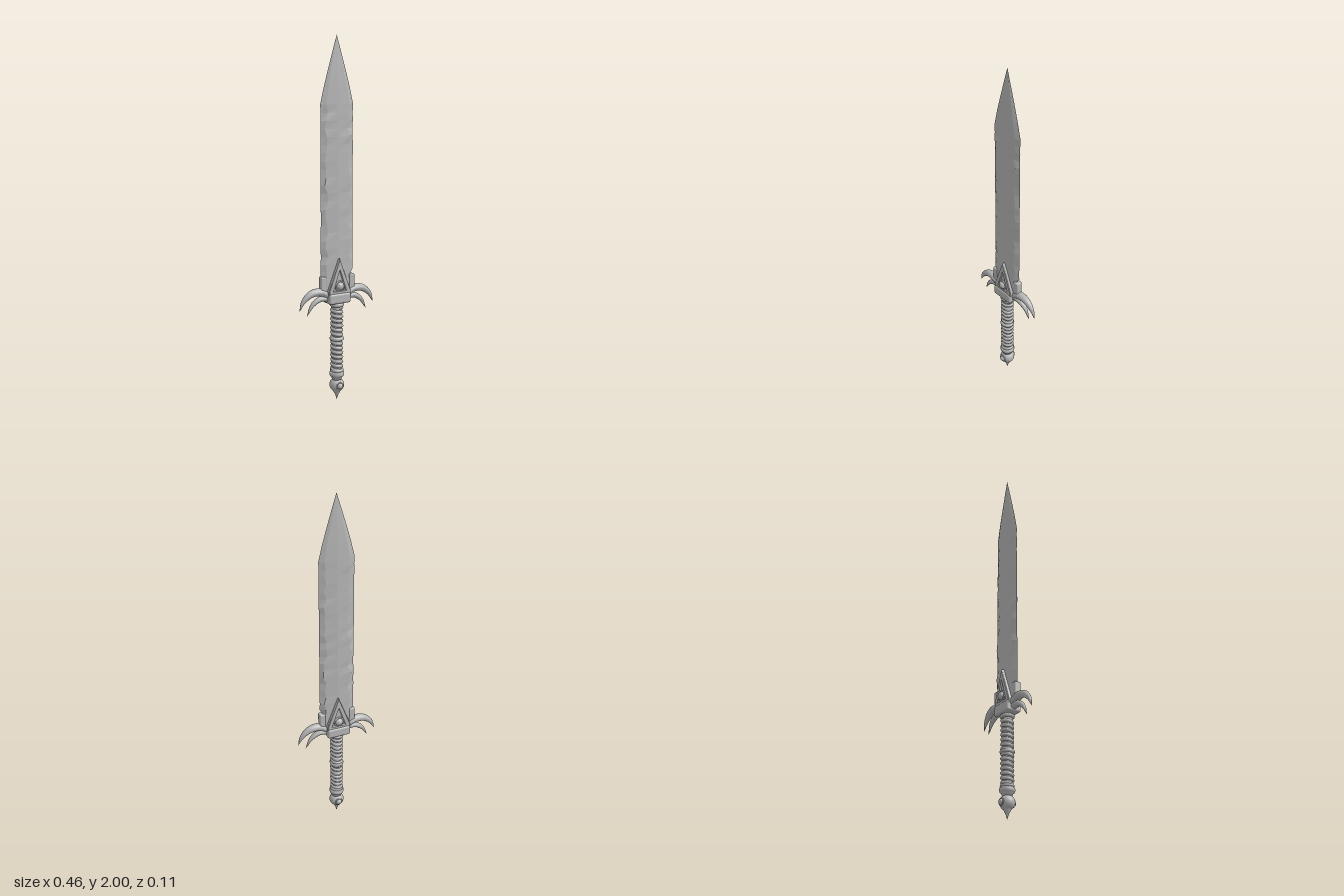
import * as THREE from 'three';
import { RoundedBoxGeometry } from 'three/addons/geometries/RoundedBoxGeometry.js';

export function createModel() {
  const model = new THREE.Group();
  model.name = 'sword';
  const steel = new THREE.MeshStandardMaterial({ color: 0xb6b6b6 });
  steel.name = 'grey steel';

  const add = (name, geometry, x = 0, y = 0, z = 0) => {
    const mesh = new THREE.Mesh(geometry, steel);
    mesh.name = name;
    mesh.position.set(x, y, z);
    model.add(mesh);
    return mesh;
  };
  let seed = 7;
  const jitter = (size) => {
    seed = (seed * 16807) % 2147483647;
    return (seed / 2147483647 - 0.5) * 2 * size;
  };

  // Blade: faceted hexagonal sections with a centre ridge and hammered bevels
  const shoulder = 1.64, tip = 2;
  const heights = [0.6, 0.69, 0.715, 0.74];
  for (let y = 0.78; y < 1.63; y += 0.043) heights.push(y);
  heights.push(shoulder, 1.73, 1.82, 1.91, tip);
  const points = [], faces = [], sides = 8;
  heights.forEach((y, row) => {
    const t = Math.max(0, (y - shoulder) / (tip - shoulder));
    const taper = Math.max(0.004, 1 - t ** 1.12);
    const rough = y > 0.75 && y < 1.6 ? 1 : 0;
    const ridge = (0.021 - 0.005 * Math.min(1, (y - 0.6) / 1.04)) * Math.max(0.02, 1 - t ** 1.6);
    const section = [[1, 0], [0.7, 0.75], [0, 1], [-0.7, 0.75], [-1, 0], [-0.7, -0.75], [0, -1], [0.7, -0.75]];
    section.forEach(([u, v], j) => {
      let x = u * 0.1 * taper, z = v * ridge;
      if (j === 0 && row === 2) x = 0.085; // chip in the edge
      if (j % 2) {
        x += rough * jitter(0.012);
        z += rough * jitter(0.0018);
      } else if (v === 0) x -= rough * Math.sign(u) * Math.abs(jitter(0.002));
      points.push(x, y, z);
      if (row < heights.length - 1) {
        const a = row * sides + j, b = row * sides + (j + 1) % sides;
        faces.push(a, a + sides, b, b, a + sides, b + sides);
      }
    });
  });
  const indexed = new THREE.BufferGeometry();
  indexed.setAttribute('position', new THREE.Float32BufferAttribute(points, 3));
  indexed.setIndex(faces);
  const blade = indexed.toNonIndexed();
  blade.computeVertexNormals();
  add('blade', blade);

  // Guard: central block and triangular plates on both faces
  add('guardBlock', new RoundedBoxGeometry(0.134, 0.058, 0.088, 3, 0.012), 0, 0.588, 0);
  const triangle = (Type, list) => new Type(list.map(([x, y]) => new THREE.Vector2(x, y)));
  const outline = triangle(THREE.Shape, [[-0.064, 0.6], [0.064, 0.6], [0.064, 0.63], [0, 0.805], [-0.064, 0.63]]);
  outline.holes.push(triangle(THREE.Path, [[-0.042, 0.628], [0, 0.75], [0.042, 0.628]]));
  const frame = new THREE.ExtrudeGeometry(outline, {
    depth: 0.066, bevelEnabled: true, bevelThickness: 0.004, bevelSize: 0.003, bevelSegments: 1,
  });
  add('guardFrame', frame, 0, 0, -0.033);
  const panel = triangle(THREE.Shape, [[-0.05, 0.615], [0.05, 0.615], [0, 0.77]]);
  add('guardPanel', new THREE.ExtrudeGeometry(panel, { depth: 0.054, bevelEnabled: false }), 0, 0, -0.027);

  // Round stones in collars, on guard and pommel, front and back
  const stone = (name, y, z, radius, depth) => {
    for (const s of [1, -1]) {
      const gem = add(name, new THREE.SphereGeometry(radius, 20, 12), 0, y, s * z);
      gem.scale.z = depth / radius;
      add(name + 'Collar', new THREE.TorusGeometry(radius * 1.1, radius * 0.22, 8, 24), 0, y, s * z);
    }
  };
  stone('guardStone', 0.657, 0.034, 0.023, 0.021);
  stone('pommelStone', 0.088, 0.035, 0.017, 0.015);

  // Curved, tapering horns of the guard, with an elliptical section
  const horn = (name, path, side, width, depth) => {
    const curve = new THREE.CatmullRomCurve3(path.map(([x, y]) => new THREE.Vector3(x * side, y, 0)));
    const geometry = new THREE.CylinderGeometry(1, 1, 1, 16, 24);
    const pos = geometry.attributes.position;
    for (let i = 0; i < pos.count; i++) {
      const t = Math.min(1, Math.max(0, pos.getY(i) + 0.5));
      const p = curve.getPoint(t), d = curve.getTangent(t);
      const size = Math.max(0.01, (0.8 + 0.8 * t) * (1 - t ** 1.8));
      const n = pos.getX(i) * width * size;
      const z = pos.getZ(i) * depth * Math.max(0.02, 1 - t ** 2.2);
      pos.setXYZ(i, p.x + d.y * n, p.y - d.x * n, z);
    }
    geometry.computeVertexNormals();
    add(name, geometry);
  };
  for (const side of [1, -1]) {
    const word = side > 0 ? 'left' : 'right';
    horn(word + 'UpperHorn', [[0.045, 0.595], [0.1, 0.627], [0.16, 0.623], [0.205, 0.588], [0.231, 0.535]], side, 0.023, 0.026);
    horn(word + 'LowerHorn', [[0.045, 0.58], [0.1, 0.59], [0.15, 0.562], [0.186, 0.502]], side, 0.017, 0.02);
    add(word + 'BladeShoulder', new RoundedBoxGeometry(0.034, 0.1, 0.036, 2, 0.006), side * 0.087, 0.662, 0);
  }

  // Grip core with a spiral wrap
  add('gripCore', new THREE.CylinderGeometry(0.029, 0.029, 0.42, 24), 0, 0.36, 0);
  class Helix extends THREE.Curve {
    getPoint(t, target = new THREE.Vector3()) {
      const a = t * Math.PI * 2 * 14;
      return target.set(0.026 * Math.sin(a), 0.535 - 0.36 * t, 0.026 * Math.cos(a));
    }
  }
  add('gripWrap', new THREE.TubeGeometry(new Helix(), 336, 0.0105, 8));

  // Rings around the grip
  for (const [y, radius, tube] of [[0.548, 0.029, 0.011], [0.355, 0.029, 0.011], [0.173, 0.029, 0.009]]) {
    add('gripRing', new THREE.TorusGeometry(radius, tube, 10, 28), 0, y, 0).rotation.x = Math.PI / 2;
  }

  // Pommel: collar, ball and spike
  const lathe = (list) => new THREE.LatheGeometry(list.map(([r, y]) => new THREE.Vector2(r, y)), 28);
  add('pommelCollar', lathe([[0, 0.115], [0.026, 0.118], [0.03, 0.136], [0.038, 0.14], [0.041, 0.148],
    [0.041, 0.158], [0.038, 0.165], [0, 0.168]]));
  add('pommelBall', new THREE.SphereGeometry(0.041, 28, 18), 0, 0.088, 0);
  add('pommelSpike', lathe([[0, 0], [0.004, 0.014], [0.009, 0.03], [0.016, 0.042], [0.022, 0.056]]));

  return model;
}
